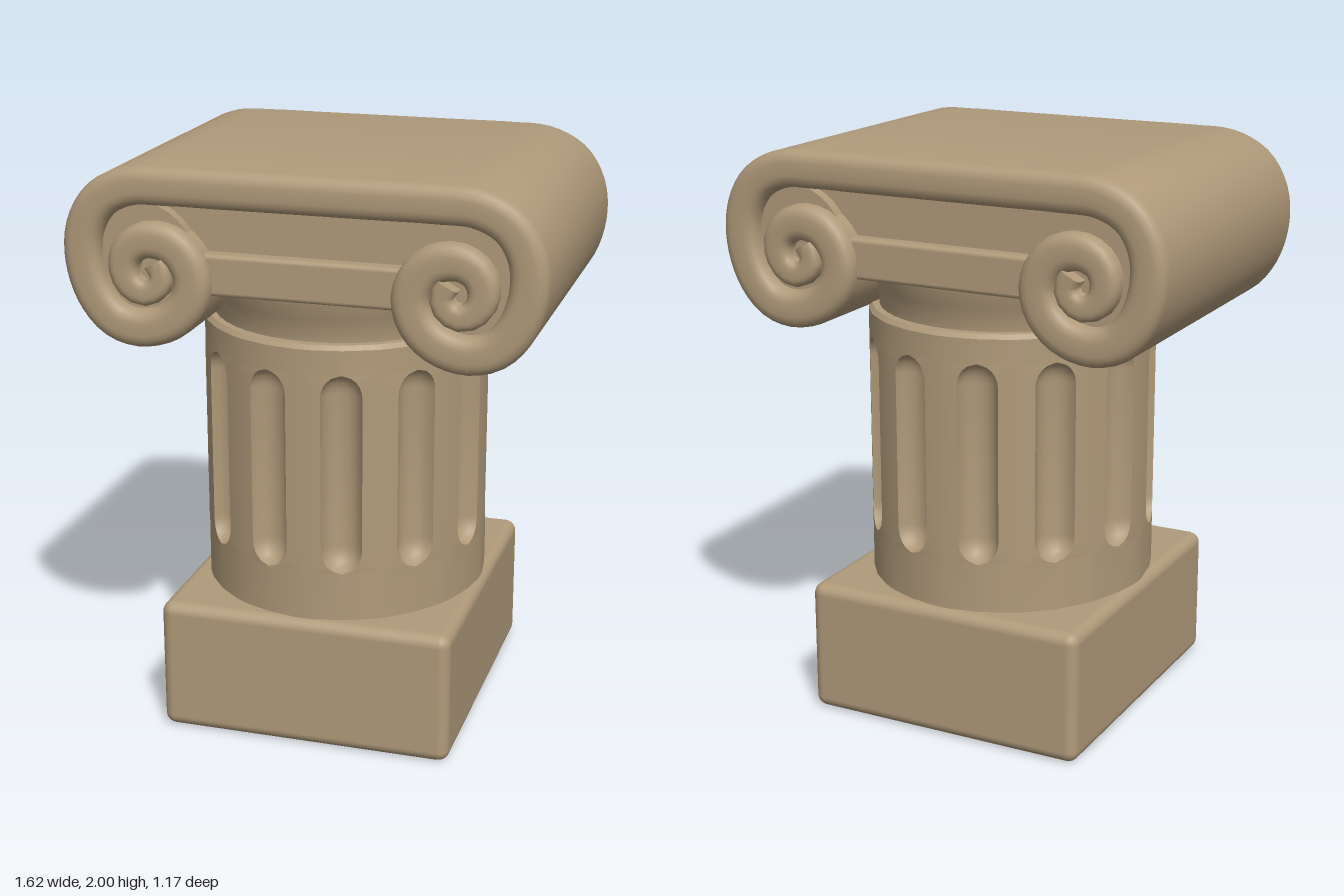
import * as THREE from 'three';
import { toCreasedNormals } from 'three/addons/utils/BufferGeometryUtils.js';
import { RoundedBoxGeometry } from 'three/addons/geometries/RoundedBoxGeometry.js';

const stone = new THREE.MeshStandardMaterial({ color: 0xb09a7a });
stone.name = 'sandstone';

function add(group, name, geometry, x = 0, y = 0, z = 0) {
  const mesh = new THREE.Mesh(geometry, stone);
  mesh.name = name;
  mesh.position.set(x, y, z);
  group.add(mesh);
  return mesh;
}

// Joins closed cross-sections (arrays of Vector3) into a capped skin
function skin(rows, crease) {
  const n = rows[0].length;
  const pos = rows.flat().flatMap((p) => [p.x, p.y, p.z]);
  const index = [];
  for (let i = 0; i < rows.length - 1; i++) {
    for (let j = 0; j < n; j++) {
      const a = i * n + j, b = i * n + (j + 1) % n;
      index.push(a, b, b + n, a, b + n, a + n);
    }
  }
  [0, rows.length - 1].forEach((r) => {
    const c = rows[r].reduce((s, p) => s.add(p), new THREE.Vector3()).divideScalar(n);
    const ci = pos.length / 3;
    pos.push(c.x, c.y, c.z);
    for (let j = 0; j < n; j++) {
      const a = r * n + j, b = r * n + (j + 1) % n;
      if (r === 0) index.push(ci, b, a);
      else index.push(ci, a, b);
    }
  });
  const g = new THREE.BufferGeometry();
  g.setAttribute('position', new THREE.Float32BufferAttribute(pos, 3));
  g.setIndex(index);
  return toCreasedNormals(g, crease);
}

// Oval shaft with twelve round-ended flutes
function shaftGeometry() {
  const RX = 0.495, RZ = 0.53, DEPTH = 0.06, END = 0.08, LOW = 0.64, HIGH = 1.34;
  const levels = [[0.45, 0.05]];
  const steps = [0, 0.12, 0.3, 0.5, 0.75, 1];
  const width = (s) => Math.max(0.05, Math.sqrt(1 - (1 - s) ** 2));
  steps.forEach((s) => levels.push([LOW + END * s, width(s)]));
  [...steps].reverse().forEach((s) => levels.push([HIGH - END * s, width(s)]));
  levels.push([1.425, 0.05], [1.44, 0.05]);
  const across = [-1, -0.9, -0.65, -0.35, 0, 0.35, 0.65, 0.9, 1];
  const rows = levels.map(([y, w], level) => {
    const row = [];
    const edge = level === levels.length - 1 ? 0.975 : 1;
    const put = (deg, r) => {
      const t = THREE.MathUtils.degToRad(deg);
      row.push(new THREE.Vector3(RX * r * edge * Math.sin(t), y, RZ * r * edge * Math.cos(t)));
    };
    for (let k = 0; k < 12; k++) {
      put(k * 30, 1);
      put(k * 30 + 4, 1);
      across.forEach((u) => {
        const d = w > 0.06 ? DEPTH * w * Math.sqrt(1 - u * u) : 0;
        put(k * 30 + 15 + u * w * 8, 1 - d / 0.5);
      });
      put(k * 30 + 26, 1);
    }
    return row;
  });
  return skin(rows, 0.6);
}

// One thick band that crosses the top and curls into a spiral at each end
function scrollGeometry() {
  const half = [
    [0.25, 1.937], [0.45, 1.937], [0.58, 1.93], [0.68, 1.88], [0.735, 1.79], [0.745, 1.68],
    [0.71, 1.56], [0.64, 1.48], [0.55, 1.457], [0.45, 1.485], [0.385, 1.55], [0.365, 1.63],
    [0.39, 1.70], [0.44, 1.745], [0.52, 1.757], [0.58, 1.725], [0.602, 1.67], [0.585, 1.61],
    [0.535, 1.58], [0.485, 1.60], [0.468, 1.645], [0.49, 1.685],
  ];
  const points = [
    ...[...half].reverse().map(([x, y]) => new THREE.Vector3(-x, y, 0)),
    ...half.map(([x, y]) => new THREE.Vector3(x, y, 0)),
  ];
  const path = new THREE.CatmullRomCurve3(points, false, 'centripetal');
  const COUNT = 150, WIDE = 0.585;
  const rows = [];
  for (let i = 0; i <= COUNT; i++) {
    const u = i / COUNT;
    const p = path.getPointAt(u), t = path.getTangentAt(u);
    const normal = new THREE.Vector3(-t.y, t.x, 0);
    // The band thins towards the eye of each spiral
    const thick = 0.064 - 0.026 * (1 - THREE.MathUtils.smoothstep(Math.min(u, 1 - u), 0, 0.12));
    const round = thick * 0.65;
    const row = [];
    [[1, 1], [-1, 1], [-1, -1], [1, -1]].forEach(([a, b], corner) => {
      for (let k = 0; k <= 4; k++) {
        const angle = (corner + k / 4) * Math.PI / 2;
        const across = a * (thick - round) + round * Math.cos(angle);
        const z = b * (WIDE - round) + round * Math.sin(angle);
        row.push(p.clone().addScaledVector(normal, across).setZ(z));
      }
    });
    rows.push(row);
  }
  return skin(rows, 0.9);
}

export function createModel() {
  const model = new THREE.Group();
  model.name = 'ionicColumn';

  // Plinth and shaft
  add(model, 'plinth', new RoundedBoxGeometry(1.03, 0.47, 1.12, 3, 0.04), 0, 0.235, 0);
  add(model, 'flutedShaft', shaftGeometry());

  // Flared neck between shaft and capital
  const neckProfile = [[0.46, 1.42], [0.46, 1.46], [0.475, 1.52], [0.495, 1.57], [0.495, 1.6]]
    .map(([r, y]) => new THREE.Vector2(r, y));
  const neck = add(model, 'neck', new THREE.LatheGeometry(neckProfile, 48));
  neck.scale.z = 1.06;

  // Capital: scroll band, recessed filling and cross bar
  const capital = new THREE.Group();
  capital.name = 'capital';
  model.add(capital);
  add(capital, 'scrollBand', scrollGeometry());
  add(capital, 'recessedCore', new THREE.BoxGeometry(1.0, 0.34, 0.98), 0, 1.75, 0);
  add(capital, 'crossBar', new RoundedBoxGeometry(0.8, 0.14, 1.08, 2, 0.015), 0, 1.65, 0);
  [1, -1].forEach((side) => {
    const core = toCreasedNormals(new THREE.CylinderGeometry(0.2, 0.2, 1.06, 32), 0.6);
    const mesh = add(capital, side > 0 ? 'leftVoluteCore' : 'rightVoluteCore', core, side * 0.555, 1.68, 0);
    mesh.rotation.x = Math.PI / 2;
  });
  return model;
}
